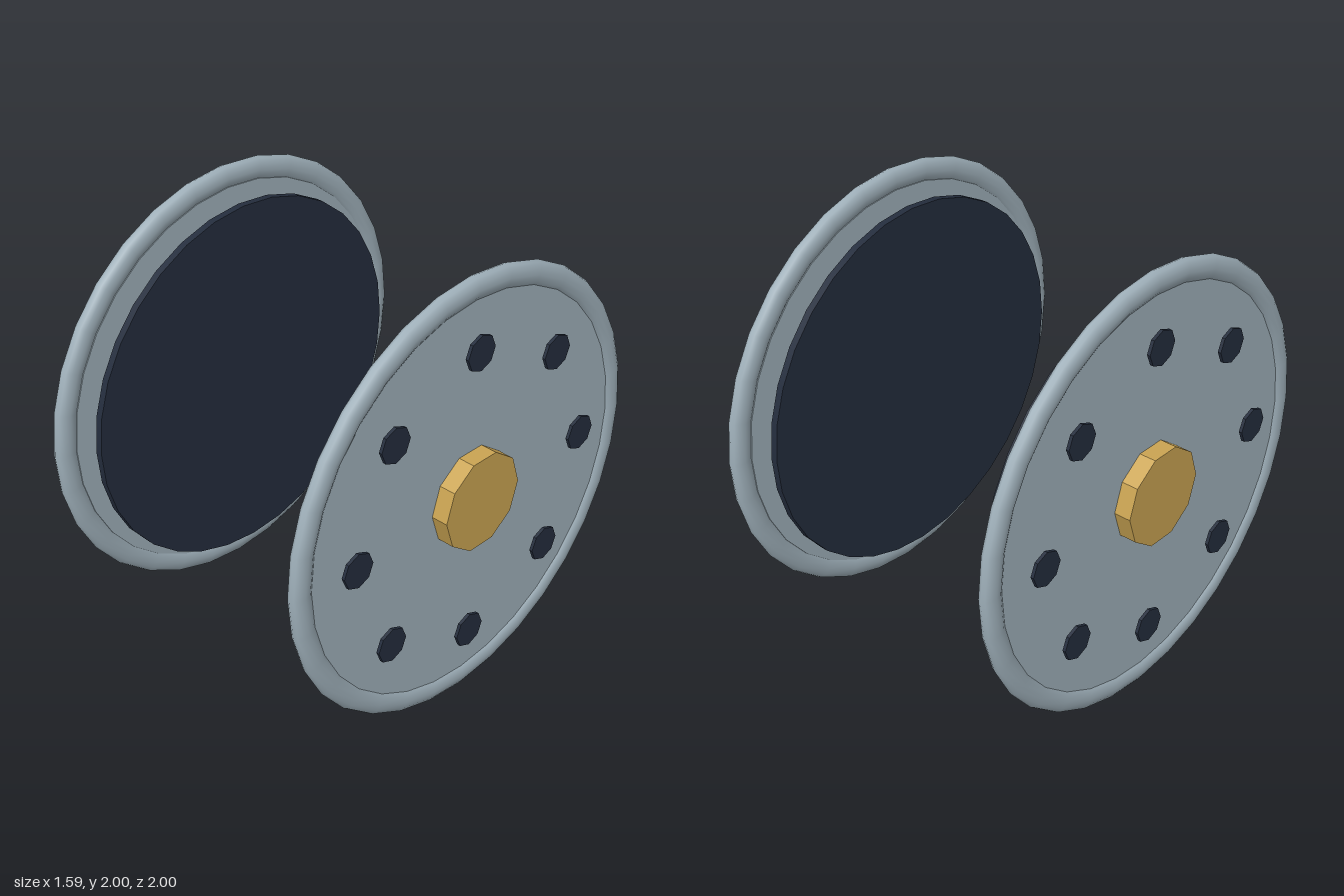
import * as THREE from 'three';

const steel = new THREE.MeshStandardMaterial({ name: 'steel', color: 0x9fb0ba });
const brass = new THREE.MeshStandardMaterial({ name: 'brass', color: 0xcaa452 });
const dark = new THREE.MeshStandardMaterial({ name: 'darkRubber', color: 0x242d3d });

// Disc lying across the x axis, from x0 to x1
function disc(name, radius, x0, x1, sides, material, flat = false) {
  let geometry = new THREE.CylinderGeometry(radius, radius, x1 - x0, sides);
  geometry.rotateZ(-Math.PI / 2);
  if (flat) {
    geometry = geometry.toNonIndexed();
    geometry.computeVertexNormals();
  }
  const mesh = new THREE.Mesh(geometry, material);
  mesh.name = name;
  mesh.position.x = (x0 + x1) / 2;
  return mesh;
}

// One side's wheel cover, facing +x
function createCover() {
  const cover = new THREE.Group();

  // Rounded rim, flattened along the axle
  const rimGeometry = new THREE.TorusGeometry(0.945, 0.055, 12, 32);
  rimGeometry.scale(1, 1, 0.62);
  rimGeometry.rotateY(Math.PI / 2);
  const rim = new THREE.Mesh(rimGeometry, steel);
  rim.name = 'rim';
  rim.position.x = 0.697;
  cover.add(rim);

  cover.add(disc('facePlate', 0.905, 0.671, 0.716, 32, steel));
  cover.add(disc('hub', 0.22, 0.648, 0.793, 10, brass, true));
  cover.add(disc('innerDisc', 0.85, 0.578, 0.611, 32, dark));

  // Ring of eight bolts
  for (let i = 0; i < 8; i++) {
    const a = (i * Math.PI) / 4;
    const bolt = disc('bolt', 0.08, 0.738, 0.753, 8, dark, true);
    bolt.position.y = 0.68 * Math.cos(a);
    bolt.position.z = 0.68 * Math.sin(a);
    cover.add(bolt);
  }
  return cover;
}

export function createModel() {
  const model = new THREE.Group();
  model.name = 'wheelCovers';
  for (const side of ['left', 'right']) {
    const cover = createCover();
    cover.name = side + 'Cover';
    cover.position.y = 1;
    if (side === 'right') cover.rotation.y = Math.PI;
    model.add(cover);
  }
  return model;
}
